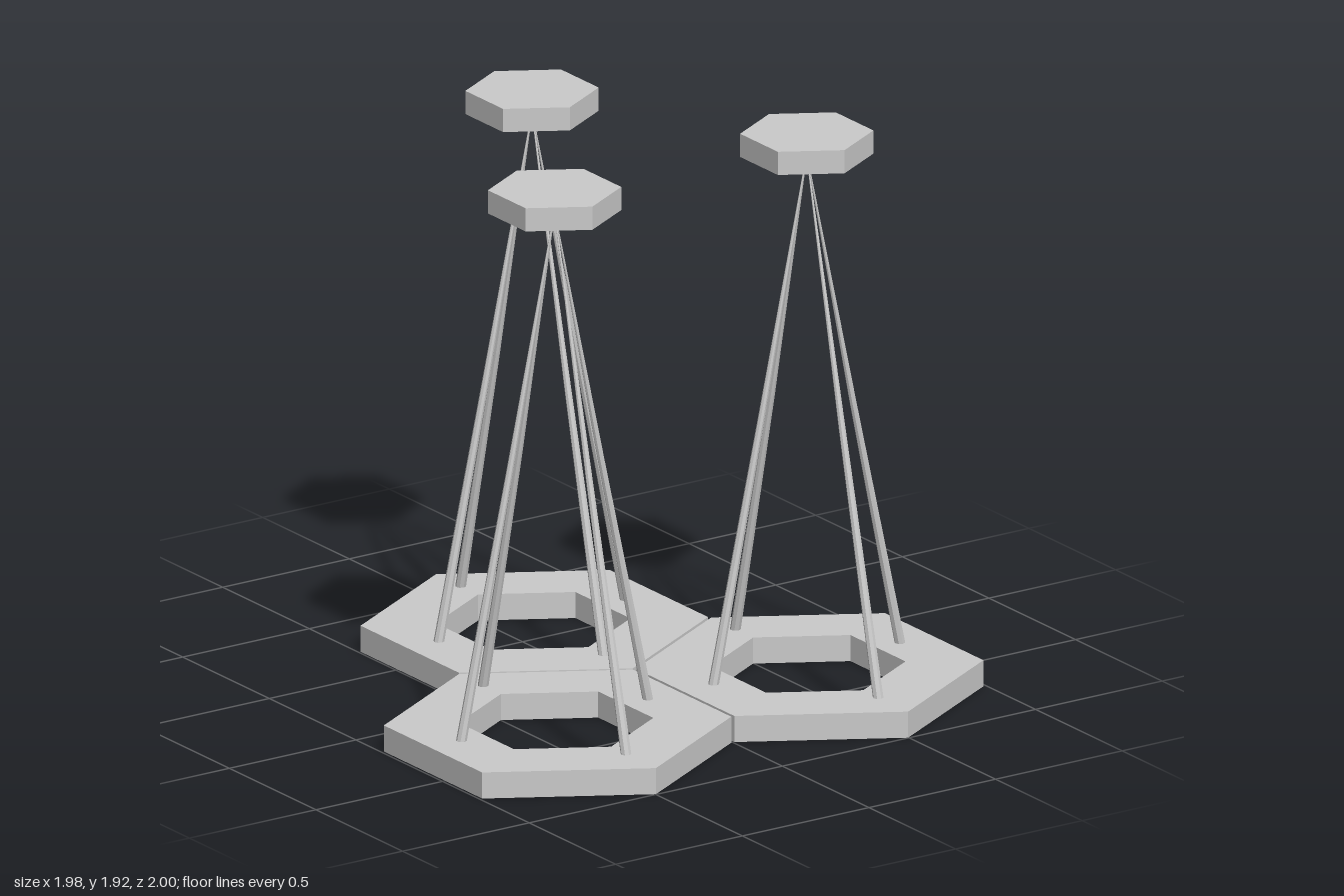
import * as THREE from 'three';

const grey = new THREE.MeshStandardMaterial({ color: 0xcccccc, flatShading: true });

// Hexagon corners with a point along the z axis
function hexPoints(r, dz = 0) {
  return Array.from({ length: 6 }, (_, i) => {
    const a = Math.PI / 6 + i * Math.PI / 3;
    return new THREE.Vector2(r * Math.cos(a), r * Math.sin(a) - dz);
  });
}

// Upright hexagonal plate, optionally with a hexagonal hole
function hexPlate(name, r, y, height, holeR = 0, holeDz = 0) {
  const shape = new THREE.Shape(hexPoints(r));
  if (holeR) shape.holes.push(new THREE.Path(hexPoints(holeR, holeDz)));
  const geo = new THREE.ExtrudeGeometry(shape, { depth: height, bevelEnabled: false });
  geo.rotateX(-Math.PI / 2);
  const mesh = new THREE.Mesh(geo, grey);
  mesh.name = name;
  mesh.position.y = y;
  return mesh;
}

// Slender leg tapering to a point, slightly bent inward at mid height
function makeLeg(dx, dz) {
  const bottom = 0.07, top = 1.845, h = top - bottom;
  const geo = new THREE.CylinderGeometry(0.002, 0.018, h, 8, 2);
  const p = geo.attributes.position;
  for (let i = 0; i < p.count; i++) {
    const t = p.getY(i) / h + 0.5;
    const k = t < 0.25 ? 1 : t < 0.75 ? 0.49 : 0;
    const thick = k === 0.49 ? 1.15 : 1;
    p.setXYZ(i, p.getX(i) * thick + dx * k, bottom + t * h, p.getZ(i) * thick + dz * k);
  }
  geo.computeVertexNormals();
  const mesh = new THREE.Mesh(geo, grey);
  mesh.name = 'leg';
  return mesh;
}

function makeTower(x, baseZ, topZ) {
  const tower = new THREE.Group();
  tower.name = 'tower';
  tower.position.set(x, 0, baseZ);
  const shift = topZ - baseZ;

  // Ring base with narrow rims underneath
  const holeShift = shift * 0.5;
  tower.add(hexPlate('base', 0.568, 0.008, 0.082, 0.318, holeShift));
  tower.add(hexPlate('outerFootRim', 0.568, 0, 0.008, 0.53));
  const innerRim = hexPlate('innerFootRim', 0.348, 0, 0.008, 0.318);
  innerRim.position.z = holeShift;
  tower.add(innerRim);

  // Legs and cap
  const upper = new THREE.Group();
  upper.name = 'stand';
  upper.position.z = shift;
  for (const s of [-1, 1]) upper.add(makeLeg(s * 0.372, 0), makeLeg(0, s * 0.417));
  upper.add(hexPlate('cap', 0.218, 1.842, 0.08));
  tower.add(upper);
  return tower;
}

export function createModel() {
  const model = new THREE.Group();
  model.name = 'hexagonTowers';
  model.add(makeTower(0, -0.432, -0.445));
  for (const s of [-1, 1]) model.add(makeTower(s * 0.498, 0.43, 0.413));
  return model;
}
